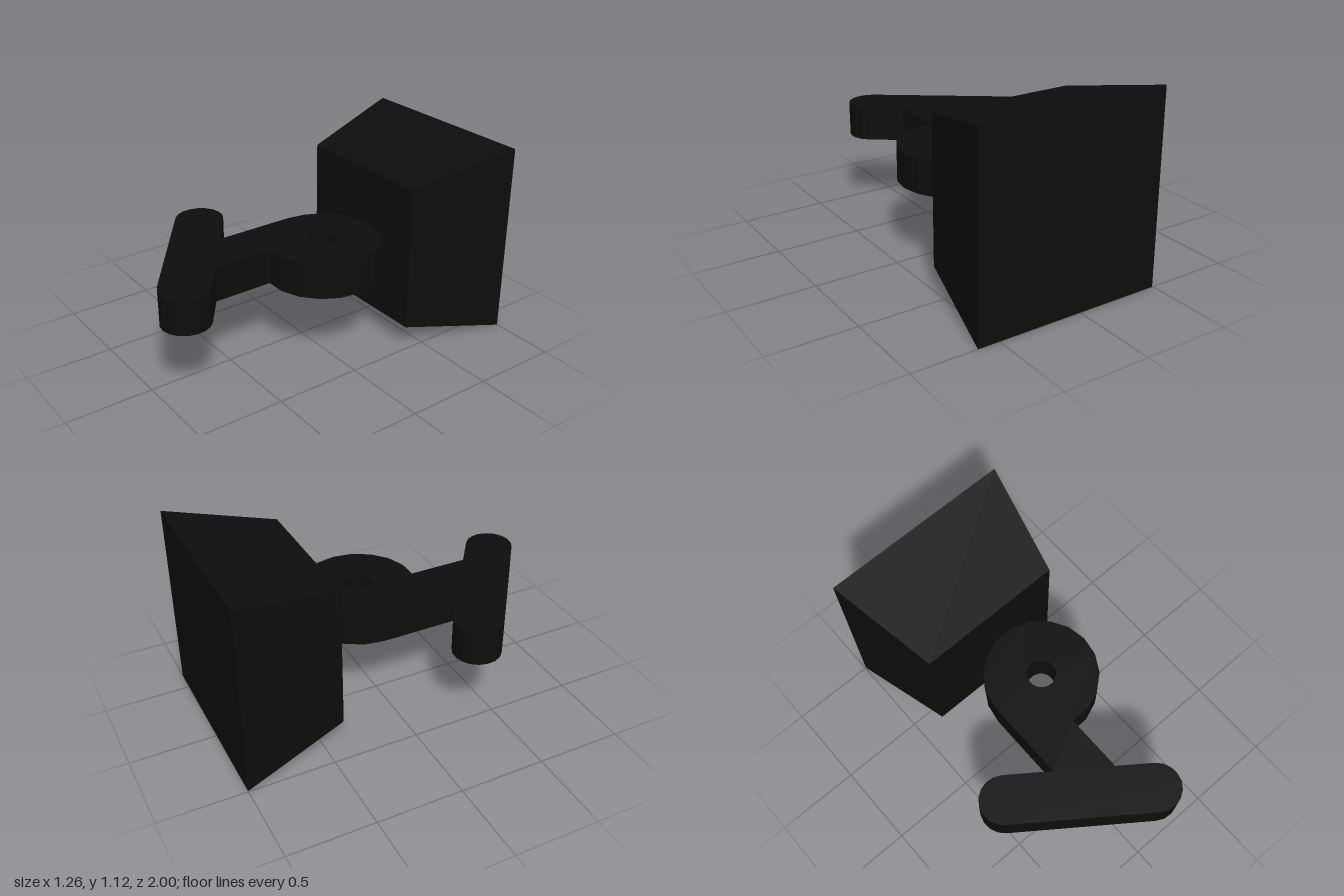
import * as THREE from 'three';

const material = new THREE.MeshStandardMaterial({ color: 0x0d0d0d });
const rad = THREE.MathUtils.degToRad;

// Points along an arc, angles in degrees
function arc(cx, cy, r, from, to, steps) {
  return Array.from({ length: steps + 1 }, (_, i) => {
    const a = rad(from + (to - from) * i / steps);
    return new THREE.Vector2(cx + r * Math.cos(a), cy + r * Math.sin(a));
  });
}

// Square block, narrower at the front than at the back
function createBlock() {
  const geometry = new THREE.BoxGeometry(1.12, 1.125, 0.62);
  const pos = geometry.attributes.position;
  for (let i = 0; i < pos.count; i++) {
    if (pos.getZ(i) > 0) pos.setXY(i, pos.getX(i) * 0.758, pos.getY(i) * 0.756);
  }
  geometry.computeVertexNormals();
  const block = new THREE.Mesh(geometry, material);
  block.name = 'taperedBlock';
  block.position.set(0.065, 0.5625, -0.69);
  return block;
}

// Flat lever: pierced ring, straight arm and slanted round-ended handle
function createLever() {
  const tilt = 53.8; // direction of the handle's upper edge normal
  const outline = [
    new THREE.Vector2(-0.187, -0.425),
    ...arc(-0.493, -0.372, 0.138, tilt, tilt + 180, 9),
    ...arc(0.177, -0.862, 0.138, tilt + 180, tilt + 360, 9),
    new THREE.Vector2(0.087, -0.625),
    ...arc(0.14, 0.043, 0.327, -99.3, 180, 14),
  ];
  const shape = new THREE.Shape(outline);
  shape.holes.push(new THREE.Path(arc(0.14, 0.043, 0.082, 360, 0, 18).slice(0, -1)));
  const geometry = new THREE.ExtrudeGeometry(shape, { depth: 0.204, bevelEnabled: false });
  geometry.rotateX(-Math.PI / 2);
  const lever = new THREE.Mesh(geometry, material);
  lever.name = 'lever';
  lever.position.y = 0.461;
  return lever;
}

export function createModel() {
  const model = new THREE.Group();
  model.name = 'leverAndBlock';
  model.add(createBlock(), createLever());
  return model;
}
